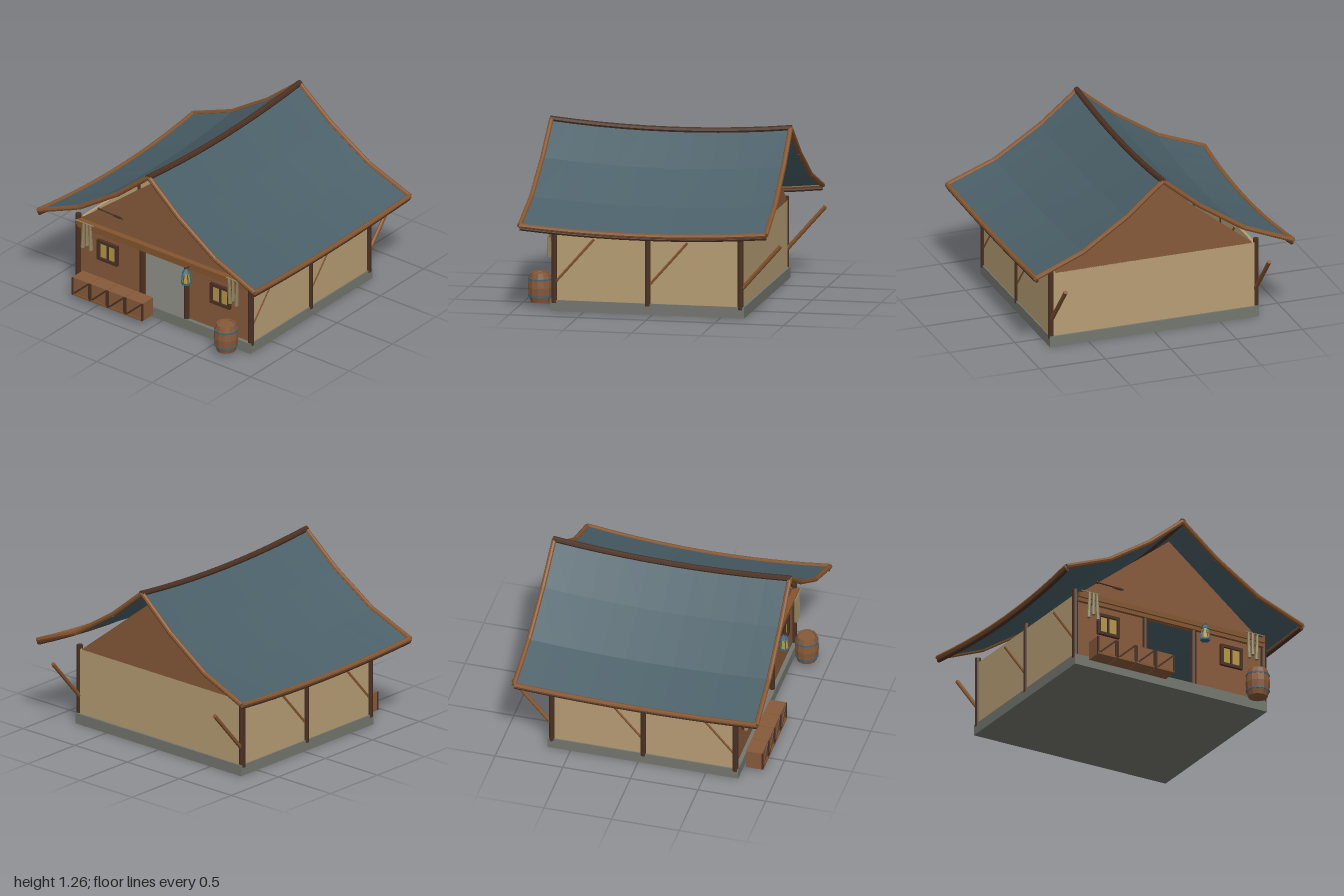
import * as THREE from 'three';

const material = (name, color, extra = {}) => {
  const m = new THREE.MeshStandardMaterial({ color, flatShading: true, ...extra });
  m.name = name;
  return m;
};

export function createModel() {
  const root = new THREE.Group();
  root.name = 'cabin';
  const roofCloth = material('roof blue', 0x4a5f68, { side: THREE.DoubleSide });
  const canvas = material('canvas tan', 0xb79d74);
  const planks = material('plank brown', 0x875a3a);
  const wood = material('trim wood', 0x84552f);
  const darkWood = material('dark wood', 0x4a3022);
  const stone = material('stone grey', 0x74766f);
  const glass = material('window yellow', 0xb3974a);
  const metal = material('blue metal', 0x3f6478);
  const cloth = material('hanging cloth', 0x92835f);

  const add = (name, geo, mat, x = 0, y = 0, z = 0, parent = root) => {
    const m = new THREE.Mesh(geo, mat);
    m.name = name;
    m.position.set(x, y, z);
    parent.add(m);
    return m;
  };
  const box = (name, mat, w, h, d, x, y, z, parent) =>
    add(name, new THREE.BoxGeometry(w, h, d), mat, x, y, z, parent);
  // Round bar between two points
  const rod = (name, mat, a, b, r, parent, sides = 8) => {
    const p = new THREE.Vector3(...a), q = new THREE.Vector3(...b);
    const dir = q.clone().sub(p);
    const m = add(name, new THREE.CylinderGeometry(r, r, dir.length(), sides), mat, 0, 0, 0, parent);
    m.position.copy(p).add(q).multiplyScalar(0.5);
    m.quaternion.setFromUnitVectors(new THREE.Vector3(0, 1, 0), dir.normalize());
    return m;
  };
  const chain = (name, mat, pts, r, parent) => {
    for (let i = 1; i < pts.length; i++) rod(name, mat, pts[i - 1], pts[i], r, parent);
  };
  const shape = pts => new THREE.Shape(pts.map(p => new THREE.Vector2(...p)));
  const extrude = (s, depth) => new THREE.ExtrudeGeometry(s, { depth, bevelEnabled: false });

  // Foundation
  box('foundation', stone, 1.59, 0.08, 1.41, 0, 0.04, 0.035);

  // Front wall with doorway, canvas back wall, plank gables
  add('frontWall', extrude(shape([[-0.77, 0.07], [-0.19, 0.07], [-0.19, 0.505], [0.19, 0.505],
    [0.19, 0.07], [0.77, 0.07], [0.77, 0.57], [-0.77, 0.57]]), 0.02), planks, 0, 0, 0.69);
  box('backWall', canvas, 1.56, 0.49, 0.02, 0, 0.325, -0.645);
  for (const z of [0.69, -0.655])
    add('gable', extrude(shape([[-0.755, 0.565], [0.755, 0.565], [0, 1.16]]), 0.02), planks, 0, 0, z);

  // Side walls, posts and slanting braces
  for (const s of [-1, 1]) {
    box('sideWall', canvas, 0.02, 0.48, 1.35, s * 0.776, 0.315, 0.035);
    for (const z of [0.715, 0.035, -0.64]) {
      rod('sidePost', darkWood, [s * 0.78, 0.06, z], [s * 0.78, 0.595, z], 0.022);
      rod('brace', wood, [s * 0.775, 0.2, z], [s * 0.775, 0.53, z - 0.29], 0.015);
    }
    rod('doorPost', darkWood, [s * 0.2, 0.06, 0.715], [s * 0.2, 0.555, 0.715], 0.022);
  }

  // Beam across the front
  box('frontBeam', wood, 1.54, 0.036, 0.045, 0, 0.547, 0.735);
  box('lowerBeam', wood, 1.54, 0.03, 0.025, 0, 0.517, 0.73);

  // Sagging roof: profile from ridge to eave, lifted towards both ends
  const roof = new THREE.Group();
  roof.name = 'roof';
  root.add(roof);
  const profile = [[0, 1.195], [0.27, 0.965], [0.6, 0.745], [0.955, 0.6]];
  const steps = 10;
  const roofPoint = (s, i, t) => {
    const [x, y] = profile[i];
    return [s * x * (1 + 0.025 * t * t), y + 0.045 * t * t, 0.03 + t * (0.87 + 0.028 * x)];
  };
  const ts = Array.from({ length: steps + 1 }, (_, k) => -1 + (2 * k) / steps);
  for (const s of [-1, 1]) {
    const pos = [];
    for (let i = 0; i < 3; i++) for (let k = 0; k < steps; k++) {
      const a = roofPoint(s, i, ts[k]), b = roofPoint(s, i, ts[k + 1]);
      const c = roofPoint(s, i + 1, ts[k + 1]), d = roofPoint(s, i + 1, ts[k]);
      pos.push(...(s > 0 ? [a, b, c, a, c, d] : [a, c, b, a, d, c]).flat());
    }
    const geo = new THREE.BufferGeometry();
    geo.setAttribute('position', new THREE.Float32BufferAttribute(pos, 3));
    geo.computeVertexNormals();
    add('roofSheet', geo, roofCloth, 0, 0, 0, roof);
    const eave = ts.map(t => roofPoint(s, 3, t));
    chain('eaveTrim', wood, eave, 0.018, roof);
    chain('eavePole', darkWood, eave.map(([x, y, z]) => [x - s * 0.008, y - 0.022, z]), 0.014, roof);
    for (const t of [-1, 1])
      chain('rakeTrim', wood, [0, 1, 2, 3].map(i => roofPoint(s, i, t)), 0.018, roof);
  }
  chain('ridgePole', darkWood, ts.map(t => roofPoint(1, 0, t * 1.012)), 0.022, roof);

  // Windows
  for (const s of [-1, 1]) {
    const win = new THREE.Group();
    win.name = 'window';
    win.position.set(s * 0.51, 0.37, 0.715);
    root.add(win);
    box('pane', glass, 0.14, 0.12, 0.008, 0, 0, 0, win);
    for (const e of [-1, 1]) {
      box('frameRail', darkWood, 0.18, 0.022, 0.03, 0, e * 0.07, 0.004, win);
      box('frameSide', darkWood, 0.022, 0.16, 0.03, e * 0.08, 0, 0.004, win);
    }
    box('mullion', darkWood, 0.014, 0.12, 0.02, 0, 0, 0.003, win);
  }

  // Drying racks with hanging strips
  for (const s of [-1, 1]) {
    rod('dryingRod', cloth, [s * 0.6, 0.572, 0.77], [s * 0.76, 0.572, 0.77], 0.005);
    [[0.695, 0.2], [0.66, 0.17], [0.628, 0.2]].forEach(([x, h], i) => {
      const strip = add('hangingStrip', new THREE.CylinderGeometry(0.009, 0.015, h, 6), cloth,
        s * x, 0.572 - h / 2, 0.77);
      strip.rotation.z = (i - 1) * 0.04;
    });
  }

  // Lantern on a hook
  const lantern = new THREE.Group();
  lantern.name = 'lantern';
  lantern.position.set(0.253, 0, 0.79);
  root.add(lantern);
  rod('hook', darkWood, [0, 0.535, -0.06], [0, 0.535, 0.01], 0.006, lantern);
  add('lanternGlass', new THREE.CylinderGeometry(0.022, 0.031, 0.08, 6), glass, 0, 0.46, 0, lantern);
  add('lanternCap', new THREE.CylinderGeometry(0.012, 0.034, 0.032, 6), metal, 0, 0.516, 0, lantern);
  add('lanternBase', new THREE.CylinderGeometry(0.037, 0.037, 0.014, 6), metal, 0, 0.417, 0, lantern);
  for (let i = 0; i < 6; i++) {
    const c = Math.cos(i * Math.PI / 3 + Math.PI / 6), n = Math.sin(i * Math.PI / 3 + Math.PI / 6);
    rod('lanternBar', metal, [c * 0.034, 0.415, n * 0.034], [c * 0.025, 0.505, n * 0.025], 0.004, lantern, 5);
  }

  // Oar hung on the gable
  const oar = new THREE.Group();
  oar.name = 'oar';
  root.add(oar);
  rod('oarShaft', darkWood, [-0.6, 0.695, 0.715], [-0.45, 0.69, 0.715], 0.005, oar);
  add('oarBlade', new THREE.SphereGeometry(1, 10, 6), darkWood, -0.425, 0.688, 0.715, oar)
    .scale.set(0.05, 0.011, 0.006);
  add('oarGrip', new THREE.SphereGeometry(0.01, 8, 6), darkWood, -0.595, 0.695, 0.715, oar);

  // Row of crates
  for (let i = 0; i < 4; i++) {
    const crate = new THREE.Group();
    crate.name = 'crate';
    crate.position.set(-0.62 + i * 0.16, 0.11, 0.83);
    root.add(crate);
    box('crateBody', planks, 0.156, 0.14, 0.12, 0, 0, 0, crate);
    for (const e of [-1, 1]) {
      box('crateUpright', darkWood, 0.012, 0.138, 0.014, e * 0.073, 0, 0.061, crate);
    }
    box('crateRail', wood, 0.156, 0.014, 0.016, 0, -0.063, 0.06, crate);
    box('crateDiagonal', darkWood, 0.18, 0.013, 0.012, 0, 0, 0.061, crate).rotation.z = 0.74;
  }

  // Barrel with hoops
  const barrel = new THREE.Group();
  barrel.name = 'barrel';
  barrel.position.set(0.657, 0.04, 0.845);
  root.add(barrel);
  const staves = [[0, 0], [0.07, 0], [0.083, 0.05], [0.088, 0.105], [0.083, 0.16], [0.07, 0.21],
    [0.062, 0.21], [0.06, 0.2], [0, 0.2]].map(p => new THREE.Vector2(...p));
  add('staves', new THREE.LatheGeometry(staves, 12), planks, 0, 0, 0, barrel);
  for (const y of [0.045, 0.165])
    add('hoop', new THREE.CylinderGeometry(0.086, 0.086, 0.012, 12), metal, 0, y, 0, barrel);

  return root;
}
